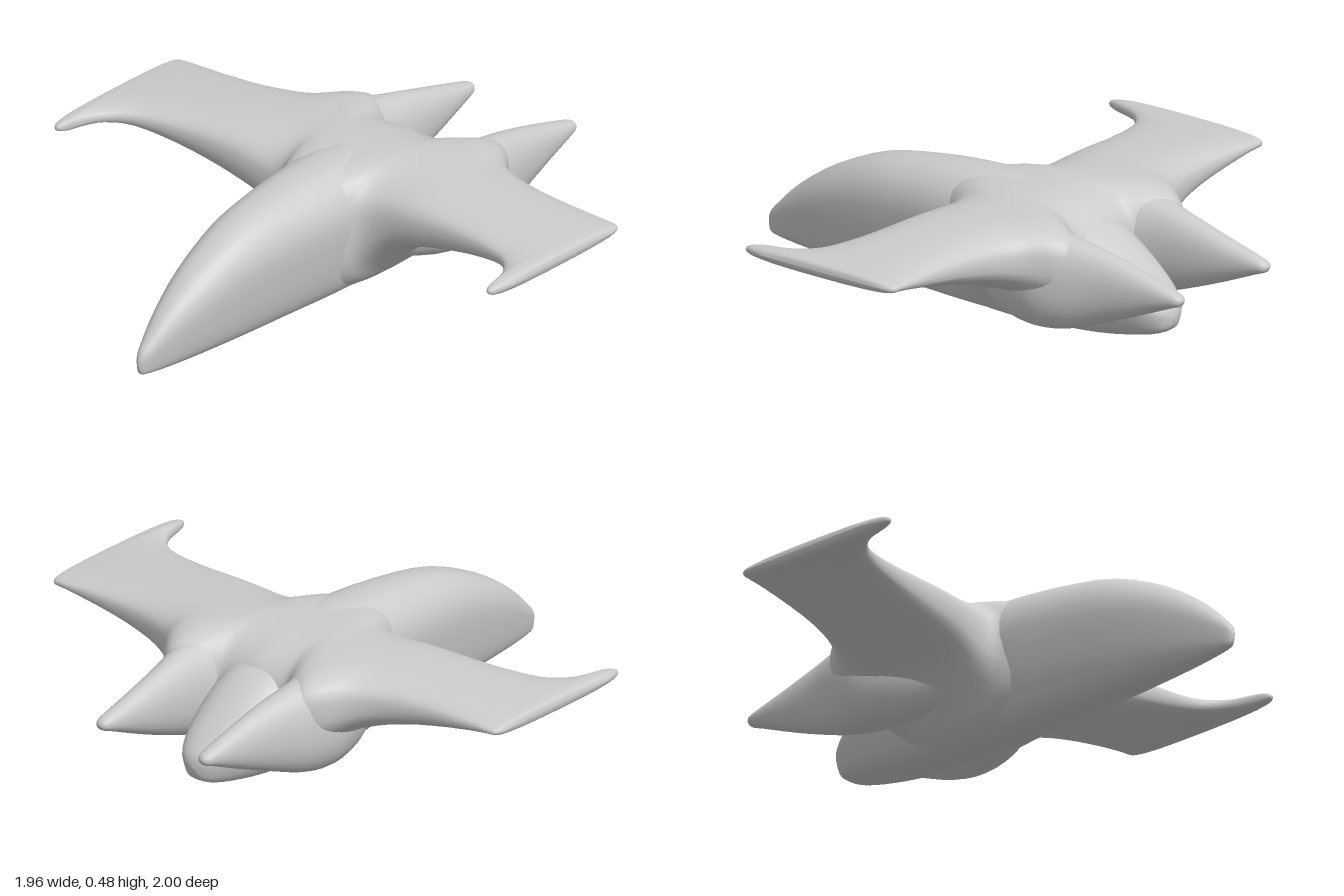
import * as THREE from 'three';

const material = new THREE.MeshStandardMaterial({ color: 0xcccccc, side: THREE.DoubleSide });

// Smoothly refine rows of section values (Catmull-Rom per column)
function refine(rows, steps) {
  const out = [];
  const at = i => rows[Math.min(Math.max(i, 0), rows.length - 1)];
  for (let i = 0; i < rows.length - 1; i++) {
    for (let s = 0; s < steps; s++) {
      const t = s / steps;
      out.push(rows[i].map((p1, k) => {
        const p0 = at(i - 1)[k], p2 = at(i + 1)[k], p3 = at(i + 2)[k];
        return p1 + 0.5 * t * (p2 - p0 + t * (2 * p0 - 5 * p1 + 4 * p2 - p3 + t * (3 * (p1 - p2) + p3 - p0)));
      }));
    }
  }
  out.push(rows[rows.length - 1]);
  return out;
}

// Loft superellipse sections; row = [station, side min, side max, bottom, top], stations ascending
function loft(name, axis, rows, power, flare = 0, sides = 36) {
  const sections = refine(rows, 3);
  const position = [], index = [];
  for (const [s, lo, hi, bottom, top] of sections) {
    for (let j = 0; j < sides; j++) {
      const a = (j / sides) * Math.PI * 2;
      const round = v => Math.sign(v) * Math.abs(v) ** (2 / power);
      const c = round(Math.cos(a)), h = round(Math.sin(a));
      const y = (bottom + top) / 2 + h * (top - bottom) / 2;
      const side = c * (hi - lo) / 2 * (1 + flare * h * (1 - h * h) * 2);
      const mid = (lo + hi) / 2;
      if (axis === 'z') position.push(mid + side, y, s);
      else position.push(s, y, mid - side);
    }
  }
  for (let i = 0; i < sections.length - 1; i++) {
    for (let j = 0; j < sides; j++) {
      const a = i * sides + j, b = i * sides + (j + 1) % sides;
      index.push(a, b, a + sides, b, b + sides, a + sides);
    }
  }
  const geometry = new THREE.BufferGeometry();
  geometry.setAttribute('position', new THREE.Float32BufferAttribute(position, 3));
  geometry.setIndex(index);
  geometry.computeVertexNormals();
  const mesh = new THREE.Mesh(geometry, material);
  mesh.name = name;
  return mesh;
}

export function createModel() {
  const model = new THREE.Group();
  model.name = 'aircraft';

  // Fuselage: [z, half width, bottom, top] from the tail pod to the nose
  const body = [
    [-0.775, 0, 0.125, 0.125], [-0.765, 0.045, 0.09, 0.165], [-0.73, 0.083, 0.068, 0.2],
    [-0.65, 0.118, 0.048, 0.265], [-0.5, 0.145, 0.022, 0.37], [-0.3, 0.16, 0.006, 0.452],
    [-0.1, 0.165, 0.002, 0.483], [0.1, 0.158, 0.002, 0.483], [0.3, 0.14, 0.006, 0.465],
    [0.5, 0.12, 0.01, 0.428], [0.7, 0.09, 0.016, 0.342], [0.85, 0.057, 0.022, 0.242],
    [0.95, 0.029, 0.03, 0.15], [0.985, 0.014, 0.04, 0.11], [0.995, 0, 0.075, 0.075],
  ];
  model.add(loft('fuselage', 'z', body.map(([z, w, b, t]) => [z, -w, w, b, t]), 2.6, 0.12));

  // Wing: [x, rear z, front z, bottom, top], ending in a forward prong at the tip
  const half = [
    [0, -0.5, 0.22, 0.002, 0.482], [0.07, -0.49, 0.22, 0.01, 0.482], [0.13, -0.48, 0.15, 0.042, 0.48],
    [0.165, -0.5, 0.085, 0.075, 0.478], [0.21, -0.55, 0.055, 0.115, 0.475], [0.27, -0.58, 0.045, 0.17, 0.472],
    [0.33, -0.54, 0.043, 0.21, 0.468], [0.4, -0.455, 0.042, 0.238, 0.463], [0.5, -0.405, 0.042, 0.268, 0.457],
    [0.62, -0.378, 0.047, 0.297, 0.448], [0.74, -0.367, 0.063, 0.323, 0.439], [0.83, -0.363, 0.092, 0.342, 0.431],
    [0.89, -0.362, 0.15, 0.354, 0.426], [0.918, -0.362, 0.215, 0.359, 0.423], [0.935, -0.361, 0.285, 0.361, 0.422],
    [0.95, -0.36, 0.3, 0.362, 0.42], [0.966, -0.355, 0.29, 0.365, 0.417], [0.977, -0.335, 0.24, 0.374, 0.408],
    [0.981, -0.31, 0.2, 0.391, 0.391],
  ];
  const wing = [...half.slice(1).reverse().map(([x, ...r]) => [-x, ...r]), ...half];
  model.add(loft('wing', 'x', wing, 2.7));

  // Twin tail booms: [z, inner x, outer x, bottom, top]
  const boom = [
    [-1, 0.225, 0.225, 0.295, 0.295], [-0.99, 0.203, 0.245, 0.278, 0.312], [-0.95, 0.19, 0.257, 0.262, 0.326],
    [-0.8, 0.17, 0.277, 0.2, 0.366], [-0.65, 0.157, 0.303, 0.143, 0.402], [-0.52, 0.146, 0.34, 0.1, 0.427],
    [-0.4, 0.12, 0.36, 0.085, 0.448], [-0.25, 0.1, 0.32, 0.09, 0.462], [-0.1, 0.1, 0.25, 0.13, 0.46],
  ];
  model.add(loft('leftBoom', 'z', boom, 2.2));
  model.add(loft('rightBoom', 'z', boom.map(([z, a, b, lo, hi]) => [z, -b, -a, lo, hi]), 2.2));

  return model;
}
